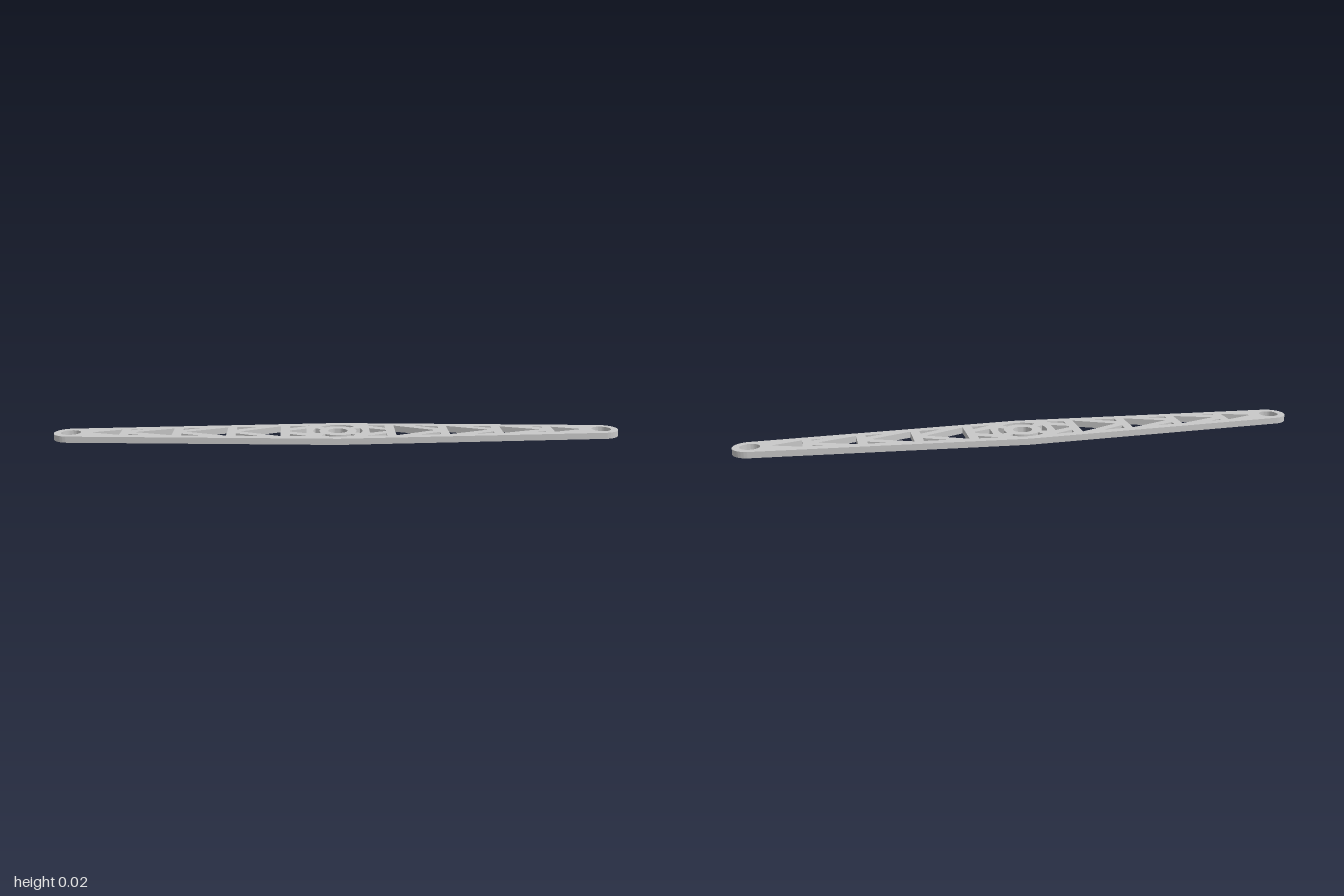
import * as THREE from 'three';
import { toCreasedNormals } from 'three/addons/utils/BufferGeometryUtils.js';

const THICKNESS = 0.022;
const HALF_WIDTH = 0.117, END_X = 0.941, END_R = 0.059;
const STRUT = 0.031, SLOPE = 0.06;
// Inner edge of the tapering border
const border = (x) => 0.084 - SLOPE * x;

export function createModel() {
  const group = new THREE.Group();
  const grey = new THREE.MeshStandardMaterial({ color: 0xc8c8c8 });
  grey.name = 'light grey';

  // Tapered outline with rounded ends
  const tilt = Math.PI / 2 - SLOPE;
  const plate = new THREE.Shape();
  plate.absarc(END_X, 0, END_R, -tilt, tilt, false);
  plate.lineTo(0, HALF_WIDTH);
  plate.absarc(-END_X, 0, END_R, Math.PI - tilt, Math.PI + tilt, false);
  plate.lineTo(0, -HALF_WIDTH);
  plate.closePath();

  const addHole = (pts) => plate.holes.push(new THREE.Path(pts.map(([x, z]) => new THREE.Vector2(x, z))));
  const addRound = (x, r) => plate.holes.push(new THREE.Path().absarc(x, 0, r, 0, Math.PI * 2, true));
  const bothEnds = (pts) => [1, -1].forEach((s) => addHole(pts.map(([x, z]) => [s * x, z])));
  const fourCorners = (pts) => [1, -1].forEach((s) => bothEnds(pts.map(([x, z]) => [x, s * z])));

  // Pivot holes
  [-END_X, 0, END_X].forEach((x) => addRound(x, 0.034));

  // Truss bays: a triangle pointing outward and two corner cut-outs
  [[0.203, 0.345, 0.36], [0.392, 0.535, 0.55], [0.583, 0.718, 0.735], [0.767, 0.87, 0]].forEach(([base, apex, bar]) => {
    const h = border(base), len = apex - base;
    bothEnds([[base, h], [apex, 0], [base, -h]]);
    if (!bar) return;
    const start = base + STRUT * Math.hypot(h, len) / h;
    const edge = (x) => h * (1 - (x - start) / len);
    const x1 = (h + h * start / len - border(0)) / (h / len - SLOPE);
    fourCorners([[x1, border(x1)], [bar, border(bar)], [bar, edge(bar)]]);
  });

  // Four curved slots around the hub
  for (let i = 0; i < 4; i++) {
    const mid = i * Math.PI / 2, half = i % 2 ? 0.75 : 0.42;
    const slot = new THREE.Path();
    slot.absarc(0, 0, 0.087, mid - half, mid + half, false);
    slot.absarc(0, 0, 0.066, mid + half, mid - half, true);
    slot.closePath();
    plate.holes.push(slot);
  }

  // Cut-outs between the hub and the first cross bars
  fourCorners([[0.1, 0.078], [0.17, 0.074], [0.17, 0.042]]);
  bothEnds([[0.112, 0.034], [0.112, -0.034], [0.17, -0.008], [0.17, 0.008]]);

  const geometry = new THREE.ExtrudeGeometry(plate, { depth: THICKNESS, bevelEnabled: false, curveSegments: 24 });
  geometry.rotateX(-Math.PI / 2);
  const mesh = new THREE.Mesh(toCreasedNormals(geometry, 0.5), grey);
  mesh.name = 'trussPlate';
  group.add(mesh);
  return group;
}
